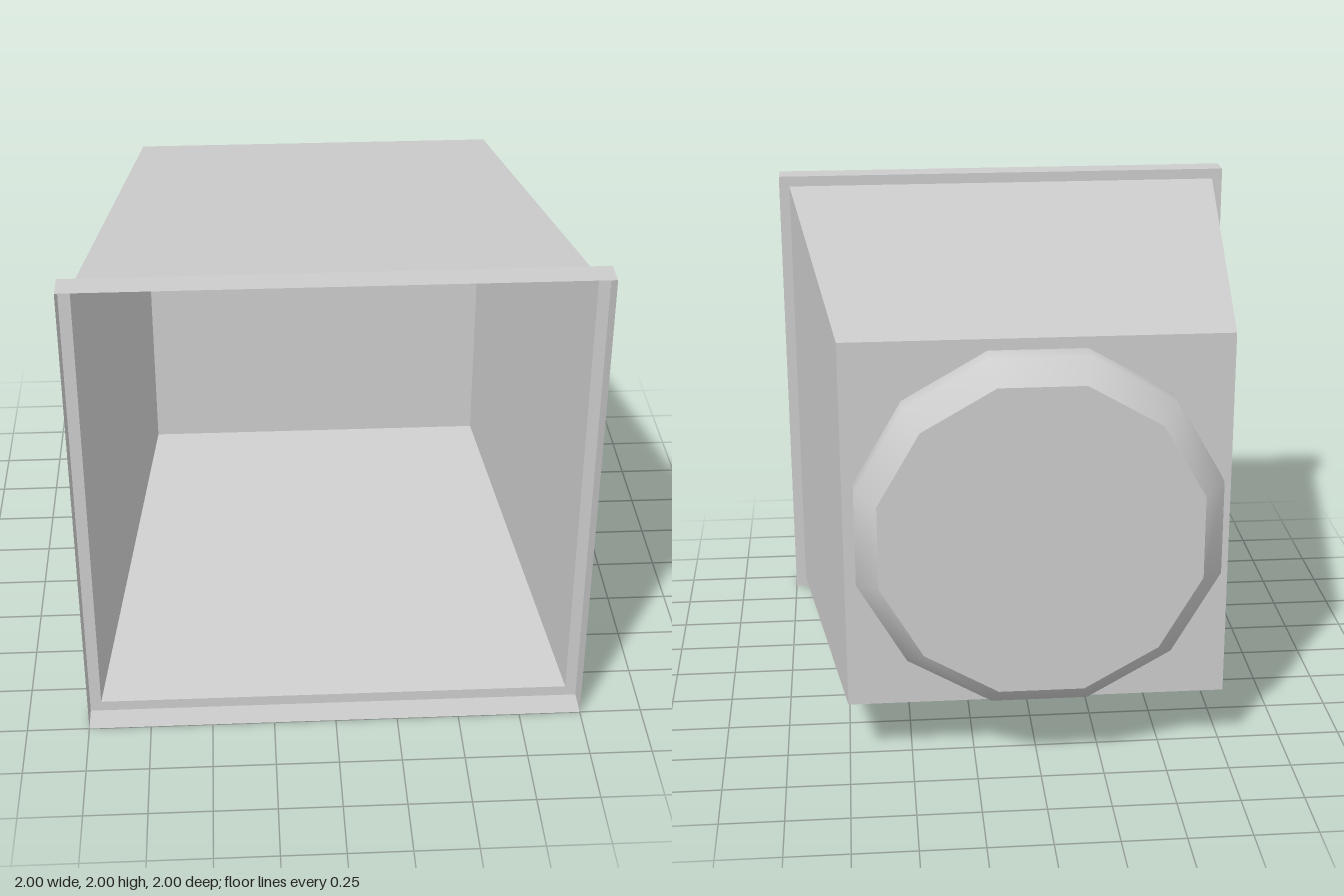
import * as THREE from 'three';

export function createModel() {
  const model = new THREE.Group();
  model.name = 'openHousing';
  const grey = new THREE.MeshStandardMaterial({ color: 0xcccccc, side: THREE.DoubleSide });
  grey.name = 'light grey';

  const add = (name, geometry) => {
    const mesh = new THREE.Mesh(geometry, grey);
    mesh.name = name;
    mesh.position.y = 1;
    model.add(mesh);
  };

  // Ring of flat sides around the z axis; profile points are [half width, z], back to front
  const ring = (profile, sides) => {
    const k = 1 / Math.cos(Math.PI / sides);
    const points = profile.map(([r, z]) => new THREE.Vector2(r * k, z));
    return new THREE.LatheGeometry(points, sides, Math.PI / sides).rotateX(Math.PI / 2);
  };
  const flat = (geometry) => {
    const g = geometry.toNonIndexed();
    g.computeVertexNormals();
    return g;
  };

  // Thin tapered box, open at the front
  add('taperedWalls', flat(ring([[0.75, -0.81], [0.955, 0.89]], 4)));
  add('backWall', new THREE.PlaneGeometry(1.5, 1.5).rotateY(Math.PI).translate(0, 0, -0.81));

  // Stepped rim around the opening
  add('rim', flat(ring([[0.955, 0.89], [1, 0.89], [1, 1]], 4)));

  // Twelve-sided bevelled boss on the back, smooth around its side
  add('bossSide', ring([[0.62, -1], [0.705, -0.91], [0.705, -0.81]], 12));
  const capRadius = 0.62 / Math.cos(Math.PI / 12);
  add('bossCap', new THREE.CircleGeometry(capRadius, 12, Math.PI / 12).rotateY(Math.PI).translate(0, 0, -1));

  return model;
}
